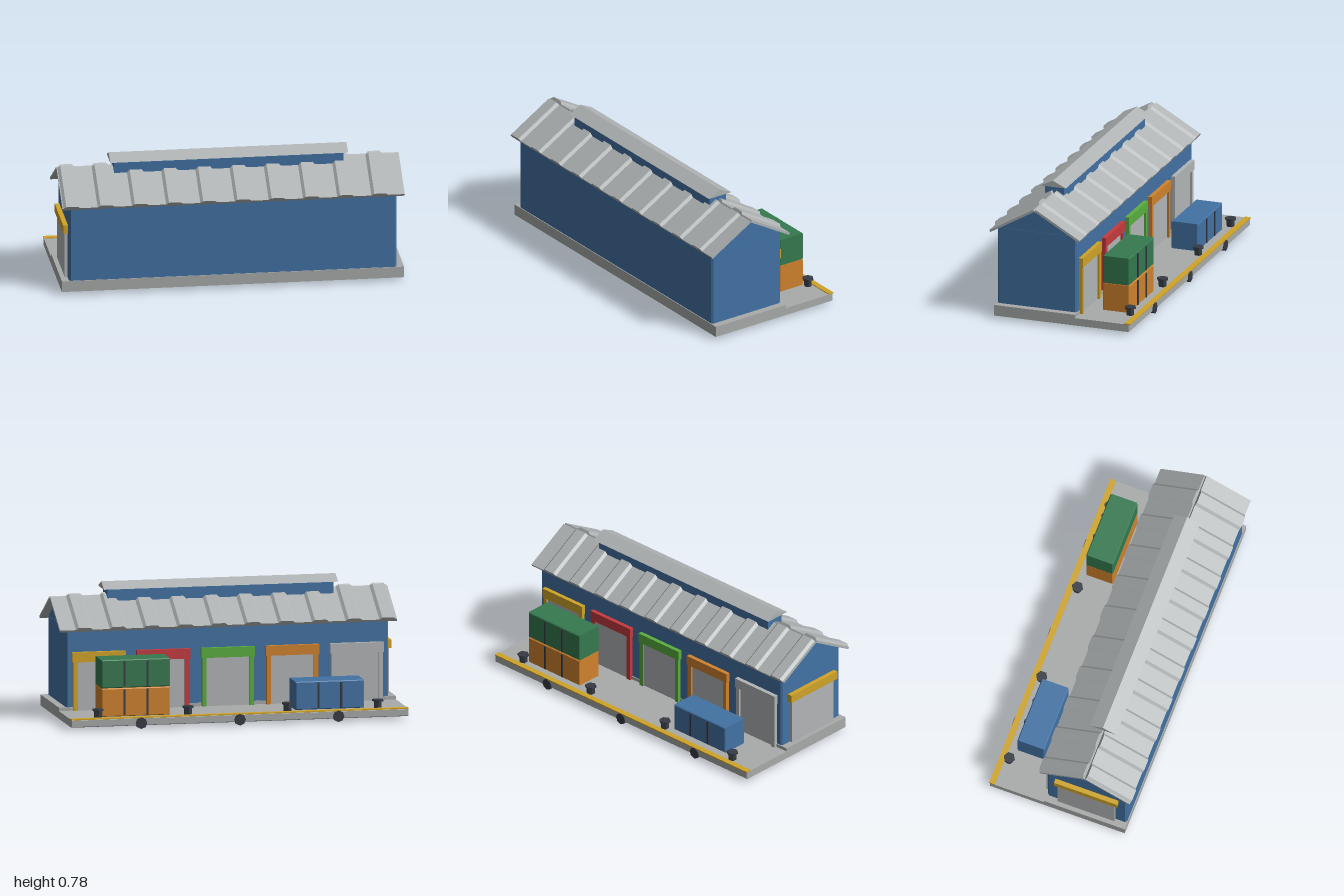
import * as THREE from 'three';

const mat = (name, color) => {
  const m = new THREE.MeshStandardMaterial({ color });
  m.name = name;
  return m;
};

export function createModel() {
  const model = new THREE.Group();
  model.name = 'warehouse';

  const blue = mat('wall blue', 0x4272a4);
  const roofGrey = mat('roof grey', 0xaeb2b2);
  const concrete = mat('concrete grey', 0xa8abaa);
  const doorGrey = mat('door grey', 0xb2b5b6);
  const yellow = mat('safety yellow', 0xd0a428);
  const red = mat('red', 0xc63a3e);
  const lime = mat('bright green', 0x5aae3e);
  const orange = mat('orange', 0xd0822c);
  const green = mat('container green', 0x35794f);
  const black = mat('dark rubber', 0x363b44);

  const add = (name, geometry, material, parent = model) => {
    const mesh = new THREE.Mesh(geometry, material);
    mesh.name = name;
    parent.add(mesh);
    return mesh;
  };

  // Box given by its limits, with optional chamfered edges
  const box = (name, [x0, x1], [y0, y1], [z0, z1], material, bevel = 0, parent = model) => {
    const w = x1 - x0, h = y1 - y0, d = z1 - z0;
    let geo;
    if (bevel) {
      const a = w / 2 - bevel, b = h / 2 - bevel;
      const shape = new THREE.Shape([[-a, -b], [a, -b], [a, b], [-a, b]].map(p => new THREE.Vector2(...p)));
      geo = new THREE.ExtrudeGeometry(shape, {
        depth: d - 2 * bevel, bevelEnabled: true, bevelSegments: 1, bevelSize: bevel, bevelThickness: bevel,
      });
      geo.translate(0, 0, -d / 2 + bevel);
    } else geo = new THREE.BoxGeometry(w, h, d);
    const mesh = add(name, geo, material, parent);
    mesh.position.set((x0 + x1) / 2, (y0 + y1) / 2, (z0 + z1) / 2);
    return mesh;
  };

  // Prism with a (z, y) outline, running along x
  const prism = (name, points, length, material) => {
    const geo = new THREE.ExtrudeGeometry(new THREE.Shape(points.map(p => new THREE.Vector2(...p))),
      { depth: length, bevelEnabled: false });
    geo.translate(0, 0, -length / 2);
    geo.rotateY(-Math.PI / 2);
    return add(name, geo, material);
  };

  const ridgeZ = 0.155;

  // Foundation, hall and gables
  box('foundation', [-1, 1], [0.02, 0.085], [-0.095, 0.405], concrete);
  box('hall', [-0.957, 0.957], [0.017, 0.548], [-0.09, 0.4], blue, 0.01);
  prism('gable', [[-0.085, 0.545], [0.395, 0.545], [ridgeZ, 0.686]], 1.91, blue);

  // Ribbed roof slopes
  const ribbedSlope = (name, side) => {
    const low = 0.014, high = 0.028;
    const points = [[-1, 0], [-1, low]];
    for (let i = 0; i < 10; i++) {
      const c = -0.945 + i * 0.2;
      points.push([c - 0.05, low], [c - 0.034, high], [c + 0.034, high], [c + 0.05, low]);
    }
    points.push([1, low], [1, 0]);
    const shape = new THREE.Shape(points.map(([x, t]) => new THREE.Vector2(x * side, t)));
    const geo = new THREE.ExtrudeGeometry(shape, { depth: 0.315, bevelEnabled: false });
    geo.rotateX(Math.PI / 6);
    if (side < 0) geo.rotateY(Math.PI);
    add(name, geo, roofGrey).position.set(0, 0.687, ridgeZ);
  };
  ribbedSlope('frontRoof', 1);
  ribbedSlope('backRoof', -1);

  // Ridge vent
  box('ventWall', [-0.67, 0.67], [0.6, 0.742], [0.097, 0.213], blue);
  prism('ventRoof', [[0.075, 0.74], [0.235, 0.74], [ridgeZ, 0.778]], 1.39, roofGrey);

  // Loading dock with its painted edge
  box('dock', [-1, 1], [0.02, 0.065], [-0.432, -0.09], concrete, 0.004);
  box('dockEdgeStripe', [-1, 1], [0.063, 0.07], [-0.435, -0.4], yellow);

  // Dock doors: panel, two posts and a header
  [yellow, red, lime, orange, doorGrey].forEach((colour, i) => {
    const x = 0.765 - i * 0.3825;
    const door = new THREE.Group();
    door.name = 'dockDoor';
    door.position.x = x;
    model.add(door);
    box('doorPanel', [-0.135, 0.135], [0.06, 0.36], [-0.1, -0.085], doorGrey, 0, door);
    for (const s of [-1, 1]) {
      box('doorPost', [s * 0.14 - 0.013, s * 0.14 + 0.013], [0.06, 0.36], [-0.112, -0.085], colour, 0, door);
    }
    box('doorHeader', [-0.158, 0.158], [0.35, 0.408], [-0.115, -0.085], colour, 0, door);
  });

  // Side door
  box('sideDoorPanel', [-0.974, -0.95], [0.08, 0.365], [-0.02, 0.33], doorGrey);
  box('sideDoorHeader', [-0.985, -0.95], [0.358, 0.408], [-0.04, 0.35], yellow);

  // Cargo containers with dark locking bars
  const container = (name, x, y, z, colour) => {
    const group = new THREE.Group();
    group.name = name;
    group.position.set(x, y, z);
    model.add(group);
    box('containerBody', [-0.203, 0.203], [0, 0.165], [-0.083, 0.083], colour, 0.005, group);
    for (const s of [-1, 1]) {
      box('containerBar', [s * 0.068 - 0.006, s * 0.068 + 0.006], [0.008, 0.157], [-0.089, -0.08], black, 0, group);
    }
  };
  container('blueContainer', -0.55, 0.065, -0.27, blue);
  container('orangeContainer', 0.602, 0.065, -0.276, orange);
  container('greenContainer', 0.602, 0.232, -0.276, green);

  // Six-sided mooring bollards
  for (const x of [-0.83, -0.295, 0.295, 0.83]) {
    const bollard = new THREE.Group();
    bollard.name = 'bollard';
    bollard.position.set(x, 0, -0.374);
    model.add(bollard);
    const part = (name, r, y0, y1) =>
      add(name, new THREE.CylinderGeometry(r, r, y1 - y0, 6).toNonIndexed(), black, bollard)
        .position.y = (y0 + y1) / 2;
    part('bollardPost', 0.024, 0.062, 0.107);
    part('bollardCap', 0.034, 0.105, 0.116);
    bollard.children.forEach(m => m.geometry.computeVertexNormals());
  }

  // Rubber fenders on the dock face
  for (const x of [-0.585, 0, 0.585]) {
    const geo = new THREE.CylinderGeometry(0.034, 0.034, 0.024, 8).toNonIndexed();
    geo.computeVertexNormals();
    geo.rotateX(Math.PI / 2);
    add('fender', geo, black).position.set(x, 0.034, -0.426);
  }

  return model;
}
